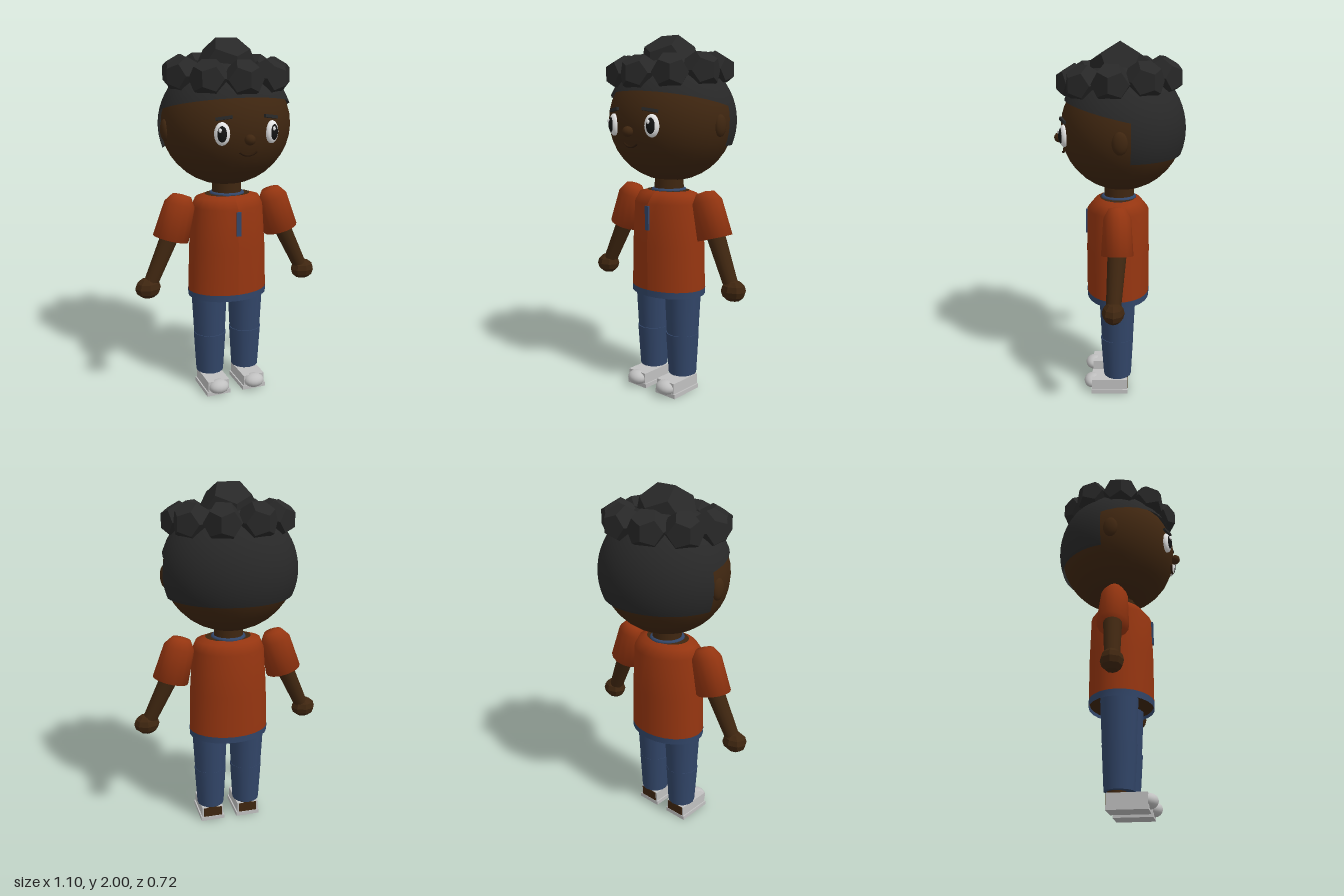
import * as THREE from 'three';

const mat = (name, color, side = THREE.FrontSide) => {
  const m = new THREE.MeshStandardMaterial({ color, side });
  m.name = name;
  return m;
};

export function createModel() {
  const skin = mat('skin', 0x3f2610);
  const lip = mat('lip', 0x2c1909);
  const hair = mat('hair', 0x282828, THREE.DoubleSide);
  const shirt = mat('shirt', 0x953510, THREE.DoubleSide);
  const denim = mat('denim', 0x324669, THREE.DoubleSide);
  const shoe = mat('shoe', 0xc0c0c0);
  const white = mat('eyeWhite', 0xe8e8e8);
  const black = mat('pupil', 0x141414);

  const model = new THREE.Group();
  model.name = 'boy';

  const add = (name, geo, material, pos = [0, 0, 0], parent = model) => {
    const m = new THREE.Mesh(geo, material);
    m.name = name;
    m.position.set(...pos);
    parent.add(m);
    return m;
  };
  const ellipsoid = (rx, ry, rz, w = 20, h = 14) => new THREE.SphereGeometry(1, w, h).scale(rx, ry, rz);
  const box = (w, h, d) => new THREE.BoxGeometry(w, h, d);

  // Open tube of elliptical rings, each [y, rx, rz], listed top to bottom
  const loft = (rings, segs = 24) => {
    const geo = new THREE.CylinderGeometry(1, 1, 1, segs, rings.length - 1, true);
    const p = geo.attributes.position;
    for (let i = 0; i < p.count; i++) {
      const [y, rx, rz] = rings[Math.floor(i / (segs + 1))];
      p.setXYZ(i, p.getX(i) * rx, y, p.getZ(i) * rz);
    }
    geo.computeVertexNormals();
    return geo;
  };
  // Tapered cylinder between two points
  const limb = (name, a, b, ra, rb, material, parent) => {
    const A = new THREE.Vector3(...a), B = new THREE.Vector3(...b);
    const m = add(name, new THREE.CylinderGeometry(ra, rb, A.distanceTo(B), 14), material,
      A.clone().add(B).multiplyScalar(0.5).toArray(), parent);
    m.quaternion.setFromUnitVectors(new THREE.Vector3(0, 1, 0), A.clone().sub(B).normalize());
    return m;
  };

  // Head and face
  const headPos = [0, 1.54, -0.01];
  add('head', ellipsoid(0.36, 0.335, 0.335, 28, 18), skin, headPos);
  add('nose', ellipsoid(0.03, 0.028, 0.03, 10, 8), skin, [0, 1.49, 0.333]);
  const mouth = add('mouth', new THREE.TorusGeometry(0.07, 0.006, 6, 14, 1.5), lip, [0, 1.478, 0.312]);
  mouth.rotation.z = -Math.PI / 2 - 0.75;

  for (const s of [-1, 1]) {
    add('ear', ellipsoid(0.025, 0.06, 0.042, 12, 10), skin, [s * 0.352, 1.52, 0]);
    const eye = new THREE.Group();
    eye.name = 'eye';
    eye.position.set(s * 0.138, 1.522, 0.296);
    eye.rotation.y = s * 0.36;
    model.add(eye);
    add('eyeWhite', ellipsoid(0.041, 0.06, 0.026), white, [0, 0, 0], eye);
    add('pupil', ellipsoid(0.029, 0.046, 0.022), black, [0, 0, 0.009], eye);
    add('eyeGlint', ellipsoid(0.009, 0.012, 0.006, 8, 6), white, [-0.01, 0.02, 0.028], eye);
    const brow = add('eyebrow', box(0.088, 0.016, 0.014), hair, [s * 0.13, 1.602, 0.302]);
    brow.rotation.set(-0.2, s * 0.36, -s * 0.07);
  }

  // Hair: tilted cap, back panel and a crown of faceted curls
  const cap = new THREE.SphereGeometry(1, 32, 10, 0, Math.PI * 2, 0, 1.32)
    .rotateX(-0.21).scale(0.375, 0.36, 0.347);
  add('hairCap', cap, hair, headPos);
  const back = new THREE.SphereGeometry(1, 24, 10, Math.PI + 0.13, Math.PI - 0.26, 0.9, 1.04)
    .scale(0.376, 0.36, 0.348);
  add('hairBack', back, hair, headPos);
  add('topCurl', new THREE.DodecahedronGeometry(0.17), hair, [0, 1.841, 0]);
  for (let i = 0; i < 9; i++) {
    const a = i * Math.PI * 2 / 9;
    const curl = add('curl', new THREE.DodecahedronGeometry(0.105), hair,
      [0.26 * Math.sin(a), 1.806 - 0.018 * Math.cos(a), 0.245 * Math.cos(a)]);
    curl.rotation.y = a;
  }

  // Neck and shirt
  const mid = 0.012;
  add('neck', new THREE.CylinderGeometry(0.08, 0.085, 0.16, 16), skin, [0, 1.18, 0.005]);
  const collar = add('collar', new THREE.TorusGeometry(0.086, 0.013, 8, 24), denim, [0, 1.155, 0.008]);
  collar.rotation.x = Math.PI / 2;
  add('shirtBody', loft([[1.155, 0.13, 0.1], [1.14, 0.185, 0.13], [1.09, 0.205, 0.172],
    [0.85, 0.222, 0.178], [0.6, 0.23, 0.178]]), shirt, [0, 0, mid]);
  add('upperChest', loft([[1.158, 0.001, 0.001], [1.156, 0.131, 0.101]]), skin, [0, 0, mid]);
  add('hem', loft([[0.605, 0.232, 0.18], [0.568, 0.23, 0.178]]), denim, [0, 0, mid]);
  add('hips', new THREE.CylinderGeometry(1, 1, 0.03, 24).scale(0.225, 1, 0.172), skin, [0, 0.6, mid]);
  add('placket', box(0.026, 0.135, 0.014), denim, [0, 1.012, 0.187]);

  // Arms, legs and shoes, mirrored
  const sleeveProfile = [[0, 0], [0.1, 0], [0.085, 0.2], [0.052, 0.25], [0, 0.257]]
    .map(([x, y]) => new THREE.Vector2(x, y));
  for (const s of [-1, 1]) {
    const arm = new THREE.Group();
    arm.name = s > 0 ? 'leftArm' : 'rightArm';
    model.add(arm);
    const sleeve = add('sleeve', new THREE.LatheGeometry(sleeveProfile, 14).scale(1.03, 1, 0.86), shirt,
      [s * 0.336, 0.92, 0.014], arm);
    sleeve.rotation.z = s * 0.28;
    limb('forearm', [s * 0.325, 0.97, 0.012], [s * 0.458, 0.69, 0.032], 0.052, 0.04, skin, arm);
    const hand = ellipsoid(0.073, 0.059, 0.06, 8, 6).toNonIndexed();
    hand.computeVertexNormals();
    add('hand', hand, skin, [s * 0.478, 0.657, 0.034], arm);

    const leg = new THREE.Group();
    leg.name = s > 0 ? 'leftLeg' : 'rightLeg';
    model.add(leg);
    limb('thigh', [s * 0.112, 0.61, 0.015], [s * 0.111, 0.34, 0.015], 0.104, 0.091, denim, leg);
    limb('shin', [s * 0.111, 0.34, 0.017], [s * 0.111, 0.1, 0.015], 0.094, 0.08, denim, leg);
    limb('ankle', [s * 0.11, 0.12, 0.003], [s * 0.11, 0.07, 0.003], 0.05, 0.05, skin, leg);
    add('shoeBody', box(0.128, 0.064, 0.205), shoe, [s * 0.11, 0.053, 0.062], leg);
    add('sole', box(0.143, 0.024, 0.212), shoe, [s * 0.11, 0.012, 0.062], leg);
    add('toeCap', ellipsoid(0.06, 0.04, 0.05, 16, 12), shoe, [s * 0.11, 0.05, 0.162], leg);
    add('heel', box(0.11, 0.056, 0.006), skin, [s * 0.11, 0.055, -0.042], leg);
  }
  return model;
}
